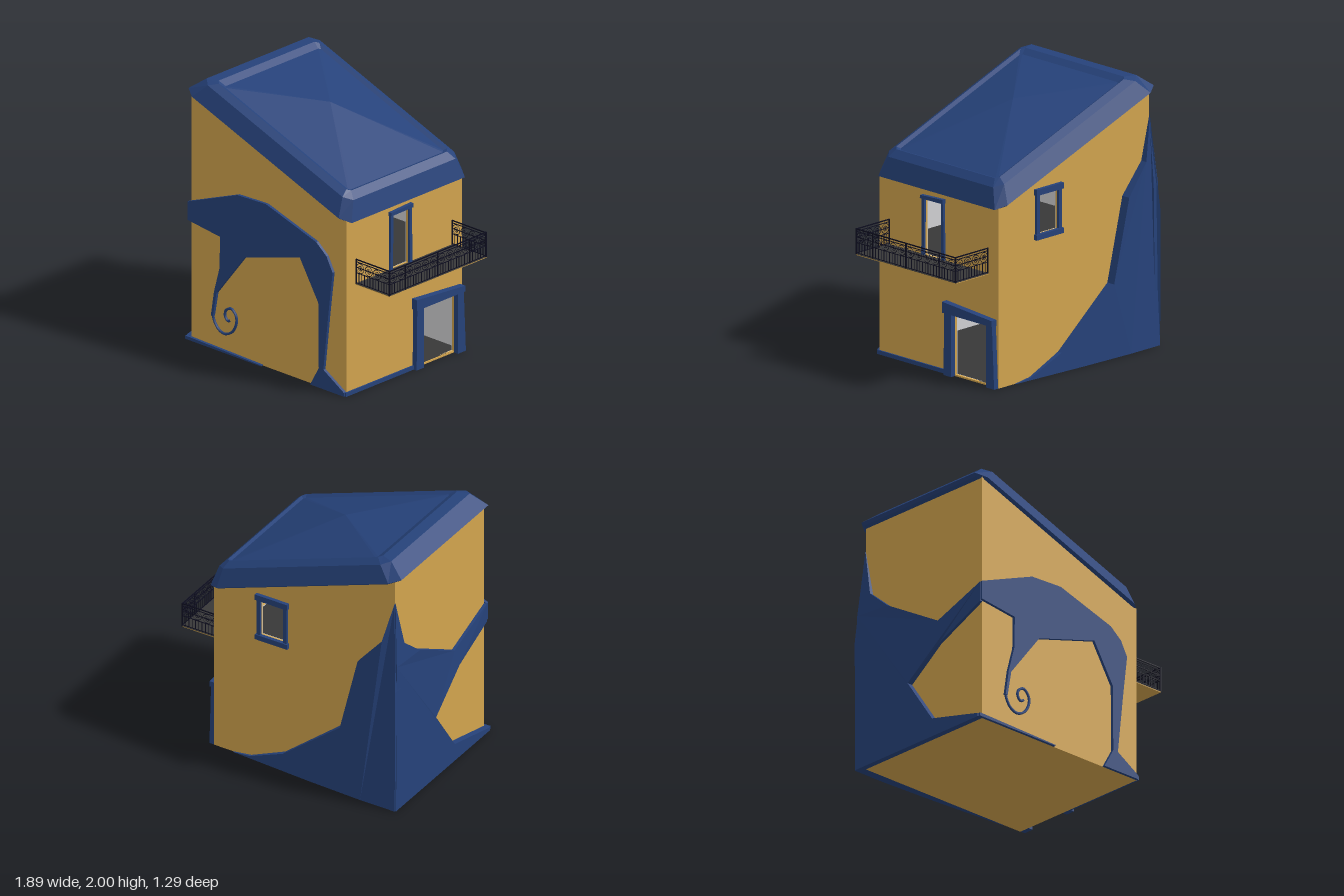
import * as THREE from 'three';
import { mergeGeometries } from 'three/addons/utils/BufferGeometryUtils.js';

const mat = (name, color, extra = {}) => {
  const m = new THREE.MeshStandardMaterial({ color, ...extra });
  m.name = name;
  return m;
};
const V = (x, y) => new THREE.Vector2(x, y);
const rect = (u0, u1, v0, v1) => [[u0, v0], [u1, v0], [u1, v1], [u0, v1]];
const X0 = -0.9, X1 = 0.613, Z0 = -0.575, Z1 = 0.617;
const slope = x => 1.33 + (0.645 - x) * 0.3636;

// Each side of the house has its own flat u, v frame with depth pointing outward
const SIDES = {
  front: [0, 0, 0, Z1],
  right: [Math.PI / 2, X1, 0, 0],
  back: [Math.PI, 0, 0, Z0],
  left: [-Math.PI / 2, X0, 0, 0]
};

export function createModel() {
  const gold = mat('gold plaster', 0xd2a44e);
  const blue = mat('deep blue', 0x26427a);
  const pale = mat('pale interior', 0xd2d2d4);
  const dark = mat('charcoal floor', 0x383838);
  const iron = mat('dark iron', 0x0c0c1e);
  const model = new THREE.Group();

  const add = (name, geo, material, parent = model) => {
    const m = new THREE.Mesh(geo, material);
    m.name = name;
    parent.add(m);
    return m;
  };
  const box = (name, material, x0, x1, y0, y1, z0, z1) => {
    const g = new THREE.BoxGeometry(x1 - x0, y1 - y0, z1 - z0);
    g.translate((x0 + x1) / 2, (y0 + y1) / 2, (z0 + z1) / 2);
    return add(name, g, material);
  };
  // Extruded outline on one side; depth may be a rule depth(u, v)
  const panel = (name, side, pts, depth, material, holes = [], offset = 0) => {
    const shape = new THREE.Shape(pts.map(p => V(...p)));
    holes.forEach(h => shape.holes.push(new THREE.Path(h.map(p => V(...p)))));
    const rule = typeof depth === 'function';
    const g = new THREE.ExtrudeGeometry(shape, { depth: rule ? 1 : depth, bevelEnabled: false });
    if (rule) {
      const p = g.attributes.position;
      for (let i = 0; i < p.count; i++) {
        if (p.getZ(i) > 0.5) p.setZ(i, depth(p.getX(i), p.getY(i)));
      }
      g.computeVertexNormals();
    }
    g.translate(0, 0, offset);
    const [angle, x, y, z] = SIDES[side];
    const m = add(name, g, material);
    m.rotation.y = angle;
    m.position.set(x, y, z);
    return m;
  };

  // Walls with openings, and a pale lining inside them
  const doorHole = rect(0.14, 0.49, 0.012, 0.465);
  const balconyHole = rect(-0.155, 0.02, 0.835, 1.255);
  const windowHole = rect(-0.22, -0.02, 1.06, 1.36);
  const outlines = {
    front: m => [[X0 + m, 0.001 + m], [X1 - m, 0.001 + m], [X1 - m, slope(X1) - m], [X0 + m, slope(X0) - m]],
    back: m => [[-X1 + m, 0.001 + m], [-X0 - m, 0.001 + m], [-X0 - m, slope(X0) - m], [-X1 + m, slope(X1) - m]],
    right: m => rect(-Z1 + m, -Z0 - m, 0.001 + m, slope(X1) - m),
    left: m => rect(Z0 + m, Z1 - m, 0.001 + m, slope(X0) - m)
  };
  const openings = { right: [doorHole, balconyHole], back: [windowHole] };
  for (const side of Object.keys(outlines)) {
    panel(side + 'Wall', side, outlines[side](0), 0.02, gold, openings[side], -0.02);
    panel(side + 'Lining', side, outlines[side](0.01), 0.004, pale, openings[side], -0.024);
  }
  panel('ceiling', 'front', [
    [X0 + 0.01, slope(X0) - 0.03], [X1 - 0.01, slope(X1) - 0.03],
    [X1 - 0.01, slope(X1) - 0.01], [X0 + 0.01, slope(X0) - 0.01]
  ], Z1 - Z0 - 0.02, gold, [], Z0 - Z1 + 0.01);
  box('foundation', gold, X0, X1, 0, 0.006, Z0, Z1);
  box('groundFloor', dark, X0 + 0.02, X1 - 0.01, 0.006, 0.012, Z0 + 0.02, Z1 - 0.02);
  box('upperFloor', dark, X0 + 0.02, X1 - 0.02, 0.82, 0.832, Z0 + 0.02, Z1 - 0.02);

  // Roof: bevelled rings lofted along the slope, closed by a shallow hipped peak
  const ring = ([x0, x1, z0, z1, cx, cz, h]) => [
    [x1, z1 - cz], [x1, z0 + cz], [x1 - cx, z0], [x0 + cx, z0],
    [x0, z0 + cz], [x0, z1 - cz], [x0 + cx, z1], [x1 - cx, z1]
  ].map(([x, z]) => [x, slope(x) + h, z]);
  const rings = [
    [-0.93, 0.63, -0.605, 0.63, 0.07, 0.05, -0.012],
    [-0.95, 0.645, -0.62, 0.645, 0.08, 0.05, 0],
    [-0.83, 0.605, -0.565, 0.585, 0.06, 0.05, 0.133],
    [-0.74, 0.555, -0.505, 0.53, 0.025, 0.025, 0.166],
    [-0.69, 0.53, -0.48, 0.5, 0.015, 0.015, 0.15]
  ].map(ring);
  const tris = [];
  const peak = [-0.12, 1.865, 0.01], under = [-0.15, slope(-0.15) - 0.012, 0.01];
  for (let j = 0; j < 8; j++) {
    const k = (j + 1) % 8;
    for (let i = 0; i < rings.length - 1; i++) {
      const [a, b, c, d] = [rings[i][j], rings[i][k], rings[i + 1][k], rings[i + 1][j]];
      tris.push(a, b, c, a, c, d);
    }
    tris.push(rings[0][k], rings[0][j], under, rings[4][j], rings[4][k], peak);
  }
  const roof = new THREE.BufferGeometry();
  roof.setAttribute('position', new THREE.Float32BufferAttribute(tris.flat(), 3));
  roof.computeVertexNormals();
  add('roof', roof, blue);

  // Door, balcony door and window frames
  panel('doorPostLeft', 'right', [[0.065, 0], [0.14, 0], [0.14, 0.47], [0.072, 0.47]], 0.04, blue);
  panel('doorPostRight', 'right', [[0.49, 0], [0.572, 0], [0.55, 0.47], [0.49, 0.47]], 0.04, blue);
  panel('doorLintel', 'right', [[0.06, 0.463], [0.555, 0.463], [0.555, 0.507], [0.058, 0.545]], 0.05, blue);
  panel('balconyDoorPostLeft', 'right', [[-0.18, 0.83], [-0.155, 0.83], [-0.15, 1.26], [-0.175, 1.26]], 0.018, blue);
  panel('balconyDoorPostRight', 'right', [[0.018, 0.83], [0.048, 0.83], [0.038, 1.26], [0.016, 1.26]], 0.018, blue);
  panel('balconyDoorLintel', 'right', [[-0.185, 1.255], [0.045, 1.258], [0.045, 1.29], [-0.18, 1.28]], 0.028, blue);
  panel('windowPostLeft', 'back', rect(-0.245, -0.215, 1.05, 1.37), 0.02, blue);
  panel('windowPostRight', 'back', rect(-0.025, 0.005, 1.05, 1.37), 0.02, blue);
  panel('windowLintel', 'back', rect(-0.255, 0.015, 1.355, 1.4), 0.028, blue);
  panel('windowSill', 'back', rect(-0.255, 0.015, 1.025, 1.065), 0.028, blue);

  // Raised blue relief wrapping around front, left and back
  panel('frontRelief', 'front', [
    [-0.92, 1.06], [-0.92, 0.92], [-0.6, 0.88], [-0.605, 0.64], [-0.66, 0.44], [-0.69, 0.25],
    [-0.67, 0.25], [-0.635, 0.44], [-0.36, 0.79], [0.18, 0.945], [0.36, 0.65], [0.365, 0.15],
    [0.28, 0], [0.61, 0], [0.61, 0.03], [0.41, 0.15], [0.46, 0.6], [0.5, 0.92],
    [0.44, 1.03], [0.34, 1.11], [-0.15, 1.26], [-0.43, 1.25]
  ], 0.022, blue);
  const curl = new THREE.CatmullRomCurve3([
    [-0.68, 0.27], [-0.672, 0.225], [-0.63, 0.165], [-0.57, 0.142], [-0.495, 0.175], [-0.452, 0.25],
    [-0.455, 0.31], [-0.5, 0.352], [-0.55, 0.33], [-0.562, 0.285], [-0.535, 0.25], [-0.505, 0.262]
  ].map(([x, y]) => new THREE.Vector3(x, y, Z1 + 0.01)));
  add('frontReliefCurl', new THREE.TubeGeometry(curl, 60, 0.01, 6), blue);
  panel('leftRelief', 'left', [
    [-0.575, 1.7], [-0.62, 1.2], [-0.635, 0], [0.62, 0], [0.62, 0.025], [0.15, 0.14], [-0.1, 0.5], [0.2, 0.72],
    [0.62, 0.91], [0.62, 1.06], [0.186, 0.9], [-0.31, 1.18], [-0.5, 1.34]
  ], (u, v) => 0.046 * Math.min(1, (1.75 - v) / 0.6) * (u > 0.1 && v > 0.5 ? 0.5 : 1), blue);
  panel('backRelief', 'back', [
    [0.9, 1.7], [0.82, 1.38], [0.63, 1.16], [0.48, 0.55], [-0.016, 0.145], [-0.3, 0.02],
    [-0.45, 0], [0.2, 0], [0.65, 0], [0.94, 0], [0.943, 1.0]
  ], (u, v) => 0.07 * Math.min(1, (u + 0.6) / 1.1) * Math.min(1, (1.75 - v) / 0.5), blue);

  // Base trim
  panel('frontBaseTrim', 'front', [[-0.94, 0], [-0.2, 0], [-0.2, 0.008], [-0.94, 0.025]], 0.022, blue);
  panel('rightBaseTrim', 'right', rect(-0.63, 0.07, 0, 0.03), 0.012, blue);

  // Balcony slab
  const BX = 0.945, BZ0 = -0.475, BZ1 = 0.52;
  box('balconySlab', gold, X1, BX, 0.827, 0.832, BZ0, BZ1);
  box('balconyFloor', dark, X1, BX, 0.832, 0.836, BZ0, BZ1);

  // Wrought iron railing, laid out along local x in equal bays
  const railing = (name, length, bays, posts) => {
    const parts = [], step = length / bays;
    const bar = (w, h, x, y, t = 0.004) => parts.push(new THREE.BoxGeometry(w, h, t).translate(x, y, 0));
    for (const y of [1.02, 1.002, 0.96, 0.918, 0.842]) bar(length, y > 1.01 ? 0.008 : 0.004, length / 2, y, 0.006);
    for (const i of posts) bar(0.008, 0.192, i * step, 0.928, 0.008);
    for (let i = 0; i < bays; i++) {
      for (let k = 0; k < 3; k++) bar(0.004, 0.078, (i + k / 3) * step, 0.88);
      const cx = (i + 0.5) * step;
      for (const r of [0.036, 0.018, 0.007]) {
        parts.push(new THREE.TorusGeometry(r, 0.0025, 4, 18).translate(cx, 0.96, 0));
      }
    }
    return add(name, mergeGeometries(parts), iron);
  };
  const outer = railing('railingOuter', BZ1 - BZ0, 12, [0, 2, 6, 10, 12]);
  outer.rotation.y = Math.PI / 2;
  outer.position.set(BX - 0.004, 0, BZ1);
  for (const [name, z] of [['railingFront', BZ1 - 0.004], ['railingBack', BZ0 + 0.004]]) {
    railing(name, BX - X1 - 0.004, 4, [0, 4]).position.set(X1, 0, z);
  }
  return model;
}
